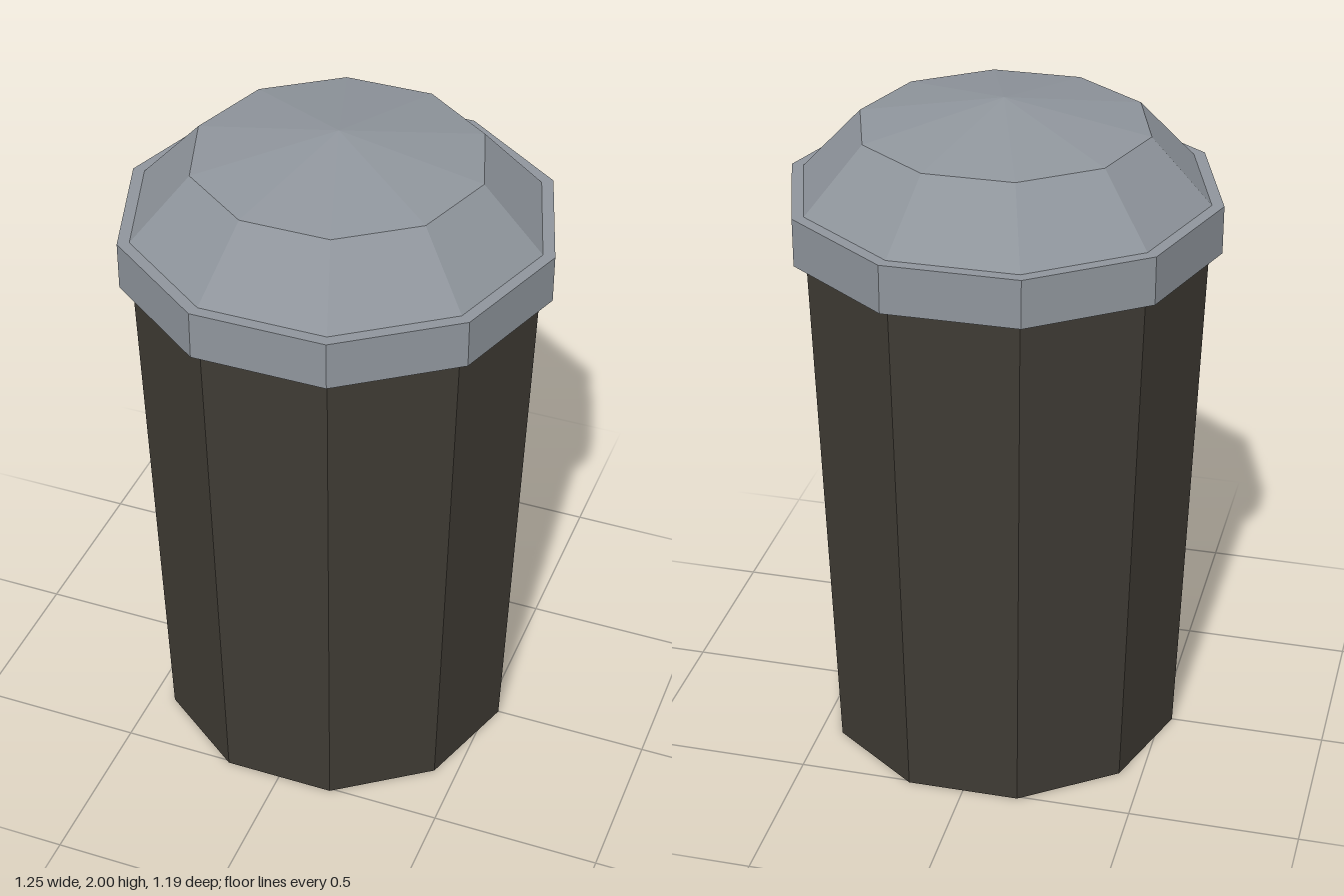
import * as THREE from 'three';

const SIDES = 10;

// Ten-sided solid turned from [radius, height] pairs, listed bottom to top
function turned(name, profile, material) {
  const points = profile.map(([r, y]) => new THREE.Vector2(r, y));
  const mesh = new THREE.Mesh(new THREE.LatheGeometry(points, SIDES, Math.PI / 2), material);
  mesh.name = name;
  return mesh;
}

export function createModel() {
  const group = new THREE.Group();
  group.name = 'trashCan';
  const dark = new THREE.MeshStandardMaterial({ color: 0x3f3b34, flatShading: true });
  const metal = new THREE.MeshStandardMaterial({ color: 0x8f959c, flatShading: true });

  // Tapered bin with a closed base
  group.add(turned('body', [[0, 0], [0.535, 0], [0.59, 1.595]], dark));

  // Lid: overhanging rim, narrow ledge, sloped shoulder and shallow peak
  group.add(turned('lid', [
    [0, 1.595], [0.627, 1.595], [0.627, 1.737],
    [0.592, 1.737], [0.418, 1.923], [0, 2],
  ], metal));

  return group;
}
